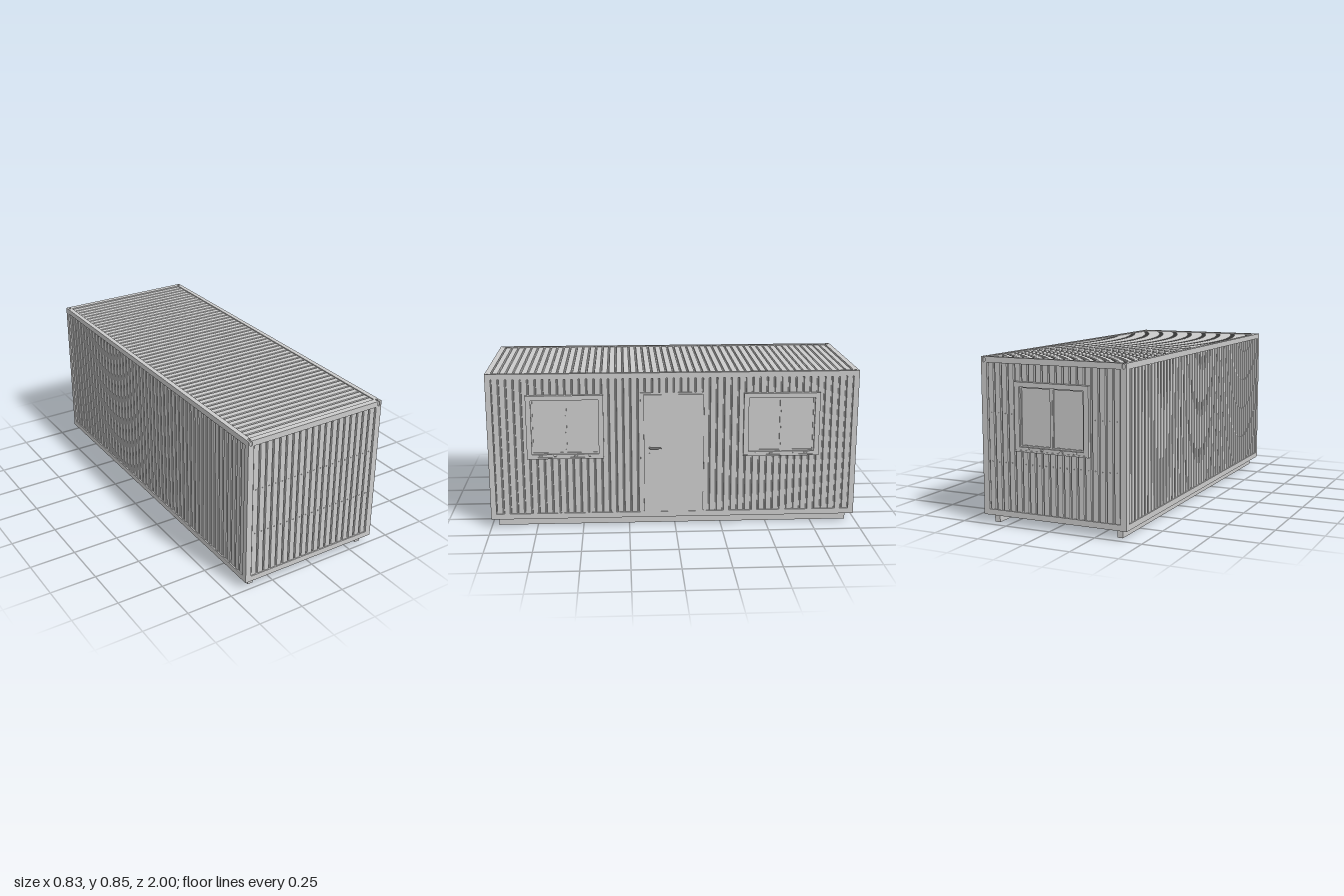
import * as THREE from 'three';
import { mergeGeometries } from 'three/addons/utils/BufferGeometryUtils.js';

const mat = new THREE.MeshStandardMaterial({ color: 0xcccccc });
const W = 0.4, L = 0.9925, Y0 = 0.045, Y1 = 0.85; // half width, half length, bottom, top
const POST = 0.032, RAIL = 0.03, PITCH = 0.0386;

function add(parent, name, geometry) {
  const mesh = new THREE.Mesh(geometry, mat);
  mesh.name = name;
  parent.add(mesh);
  return mesh;
}

const box = (w, h, d, x = 0, y = 0, z = 0) => new THREE.BoxGeometry(w, h, d).translate(x, y, z);

function rect(target, x0, y0, x1, y1) {
  target.moveTo(x0, y0).lineTo(x1, y0).lineTo(x1, y1).lineTo(x0, y1).closePath();
  return target;
}

// Rectangular ring, extruded from z0 to z1
function ring(outer, inner, z0, z1) {
  const shape = rect(new THREE.Shape(), ...outer);
  shape.holes.push(rect(new THREE.Path(), ...inner));
  return new THREE.ExtrudeGeometry(shape, { depth: z1 - z0, bevelEnabled: false }).translate(0, 0, z0);
}

// Square plate with an upright oval slot
function slotPlate(w, h, t, sw, sh) {
  const shape = rect(new THREE.Shape(), -w / 2, -h / 2, w / 2, h / 2);
  const r = sw / 2, k = sh / 2 - r, hole = new THREE.Path();
  hole.absarc(0, k, r, 0, Math.PI, false);
  hole.absarc(0, -k, r, Math.PI, Math.PI * 2, false);
  hole.closePath();
  shape.holes.push(hole);
  return new THREE.ExtrudeGeometry(shape, { depth: t, bevelEnabled: false, curveSegments: 10 });
}

// Sheet with wide crests and narrow grooves; ribs run along y, crests face +z at z = 0
function corrugated(count, width, height) {
  const p = width / count, depth = 0.007, slope = 0.003, valley = 0.002;
  const shape = new THREE.Shape();
  shape.moveTo(-width / 2, 0.02).lineTo(-width / 2, depth);
  for (let i = 0; i < count; i++) {
    const a = -width / 2 + i * p, b = a + p;
    shape.lineTo(a + valley, depth).lineTo(a + valley + slope, 0);
    shape.lineTo(b - valley - slope, 0).lineTo(b - valley, depth);
  }
  shape.lineTo(width / 2, depth).lineTo(width / 2, 0.02).closePath();
  return new THREE.ExtrudeGeometry(shape, { depth: height, bevelEnabled: false }).rotateX(-Math.PI / 2);
}

// Facade with local z pointing outward, z = 0 at the outside of the frame
function facade(parent, name, angle, distance, count, width) {
  const g = new THREE.Group();
  g.name = name;
  g.rotation.y = angle;
  g.position.set(Math.sin(angle) * distance, 0, Math.cos(angle) * distance);
  parent.add(g);
  add(g, 'corrugatedWall', corrugated(count, width, Y1 - Y0 - 2 * RAIL)).position.set(0, Y0 + RAIL, -0.006);
  return g;
}

// Two rows of bolts on the crests of an end wall
function bolts(parent, skip) {
  const list = [];
  for (const y of [0.322, 0.57]) for (let i = -9; i <= 9; i++) {
    const x = i * PITCH;
    if (skip && y > 0.39 && Math.abs(x) < 0.21) continue;
    list.push(new THREE.CylinderGeometry(0.0025, 0.003, 0.003, 10).rotateX(Math.PI / 2).translate(x, y, -0.0045));
  }
  add(parent, 'bolts', mergeGeometries(list));
}

function makeWindow(parent, x) {
  const g = new THREE.Group();
  g.name = 'window';
  g.position.x = x;
  parent.add(g);
  add(g, 'outerFrame', ring([-0.205, 0.39, 0.205, 0.735], [-0.178, 0.412, 0.178, 0.712], -0.02, 0.011));
  add(g, 'shutterBox', box(0.41, 0.025, 0.03, 0, 0.7225, 0));
  add(g, 'sill', box(0.41, 0.008, 0.03, 0, 0.392, 0));
  for (const s of [-1, 1]) {
    const a = s < 0 ? -0.178 : 0.002, b = a + 0.176;
    add(g, 'sash', ring([a, 0.412, b, 0.712], [a + 0.008, 0.42, b - 0.008, 0.704], -0.012, 0.001));
    add(g, 'pane', box(0.17, 0.294, 0.008, (a + b) / 2, 0.562, -0.009));
    // Drain caps
    for (const u of [0.055, 0.132])
      add(g, 'drainCap', new THREE.CapsuleGeometry(0.004, 0.012, 4, 10).rotateZ(Math.PI / 2).scale(1, 1, 0.6)
        .translate(s * u, 0.404, 0.0115));
  }
  add(g, 'mullion', box(0.008, 0.3, 0.016, 0, 0.562, -0.005));
}

function makeDoor(parent) {
  const g = new THREE.Group();
  g.name = 'door';
  parent.add(g);
  add(g, 'doorFrame', ring([-0.178, 0.075, 0.178, 0.742], [-0.163, 0.079, 0.163, 0.732], -0.02, -0.002));
  add(g, 'doorLeaf', box(0.322, 0.652, 0.022, 0, 0.4055, -0.0085));
  // Handle: plate, neck and lever
  add(g, 'handlePlate', box(0.014, 0.06, 0.003, -0.13, 0.425, 0.004));
  add(g, 'lockCylinder', new THREE.CylinderGeometry(0.004, 0.004, 0.004, 12).rotateX(Math.PI / 2).translate(-0.13, 0.407, 0.007));
  const path = new THREE.CatmullRomCurve3([
    [-0.13, 0.442, 0.003], [-0.13, 0.442, 0.019], [-0.126, 0.442, 0.024], [-0.115, 0.442, 0.025], [-0.072, 0.442, 0.025],
  ].map((p) => new THREE.Vector3(...p)));
  add(g, 'handleLever', new THREE.TubeGeometry(path, 24, 0.0045, 10));
  add(g, 'leverTip', new THREE.SphereGeometry(0.0045, 10, 8).translate(-0.072, 0.442, 0.025));
}

export function createModel() {
  const model = new THREE.Group();
  model.name = 'siteCabin';
  const body = new THREE.Group();
  body.name = 'body';
  body.position.set(-0.015, 0, 0.0075);
  model.add(body);

  // Steel frame, skids and corner blocks
  for (const sx of [-1, 1]) {
    for (const y of [Y0 + RAIL / 2, Y1 - RAIL / 2])
      add(body, 'sideRail', box(0.025, RAIL, 2 * (L - RAIL), sx * (W - 0.0125), y, 0));
    add(body, 'skid', box(0.03, 0.05, 1.91, sx * 0.347, 0.025, 0));
    for (const sz of [-1, 1]) {
      const h = Y1 - Y0 - POST;
      add(body, 'cornerPost', box(POST, h, RAIL, sx * (W - POST / 2), Y0 + h / 2, sz * (L - RAIL / 2)));
      const corner = new THREE.Group();
      corner.name = 'cornerBlock';
      corner.position.set(sx * (W - POST / 2), Y1 - POST / 2, sz * (L - RAIL / 2));
      if (sz < 0) corner.rotation.y = Math.PI;
      body.add(corner);
      add(corner, 'blockCore', box(POST, POST - 0.006, RAIL - 0.006, 0, -0.003, -0.003));
      add(corner, 'endPlate', slotPlate(POST, POST, 0.006, 0.015, 0.024)).position.z = RAIL / 2 - 0.006;
      add(corner, 'topPlate', slotPlate(POST, RAIL - 0.006, 0.006, 0.012, 0.018).rotateX(-Math.PI / 2))
        .position.set(0, POST / 2 - 0.006, -0.003);
    }
  }
  for (const sz of [-1, 1]) for (const y of [Y0 + RAIL / 2, Y1 - RAIL / 2])
    add(body, 'endRail', box(2 * (W - POST), RAIL, RAIL, 0, y, sz * (L - RAIL / 2)));

  // Floor and ribbed roof
  add(body, 'floor', box(2 * W - 0.04, 0.02, 2 * L - 0.05, 0, 0.064, 0));
  const roof = corrugated(50, 2 * (L - RAIL), 0.75).translate(0, -0.375, 0);
  add(body, 'roof', roof.rotateX(-Math.PI / 2).rotateY(Math.PI / 2)).position.y = Y1 - 0.005;

  // Four walls
  const endWidth = 2 * (W - POST), sideWidth = 2 * (L - RAIL);
  const front = facade(body, 'frontWall', 0, L, 19, endWidth);
  bolts(front, false);
  const back = facade(body, 'backWall', Math.PI, L, 19, endWidth);
  bolts(back, true);
  makeWindow(back, 0);
  const left = facade(body, 'doorWall', Math.PI / 2, W, 50, sideWidth);
  makeWindow(left, -0.58);
  makeWindow(left, 0.58);
  makeDoor(left);
  facade(body, 'plainWall', -Math.PI / 2, W, 50, sideWidth);

  return model;
}
